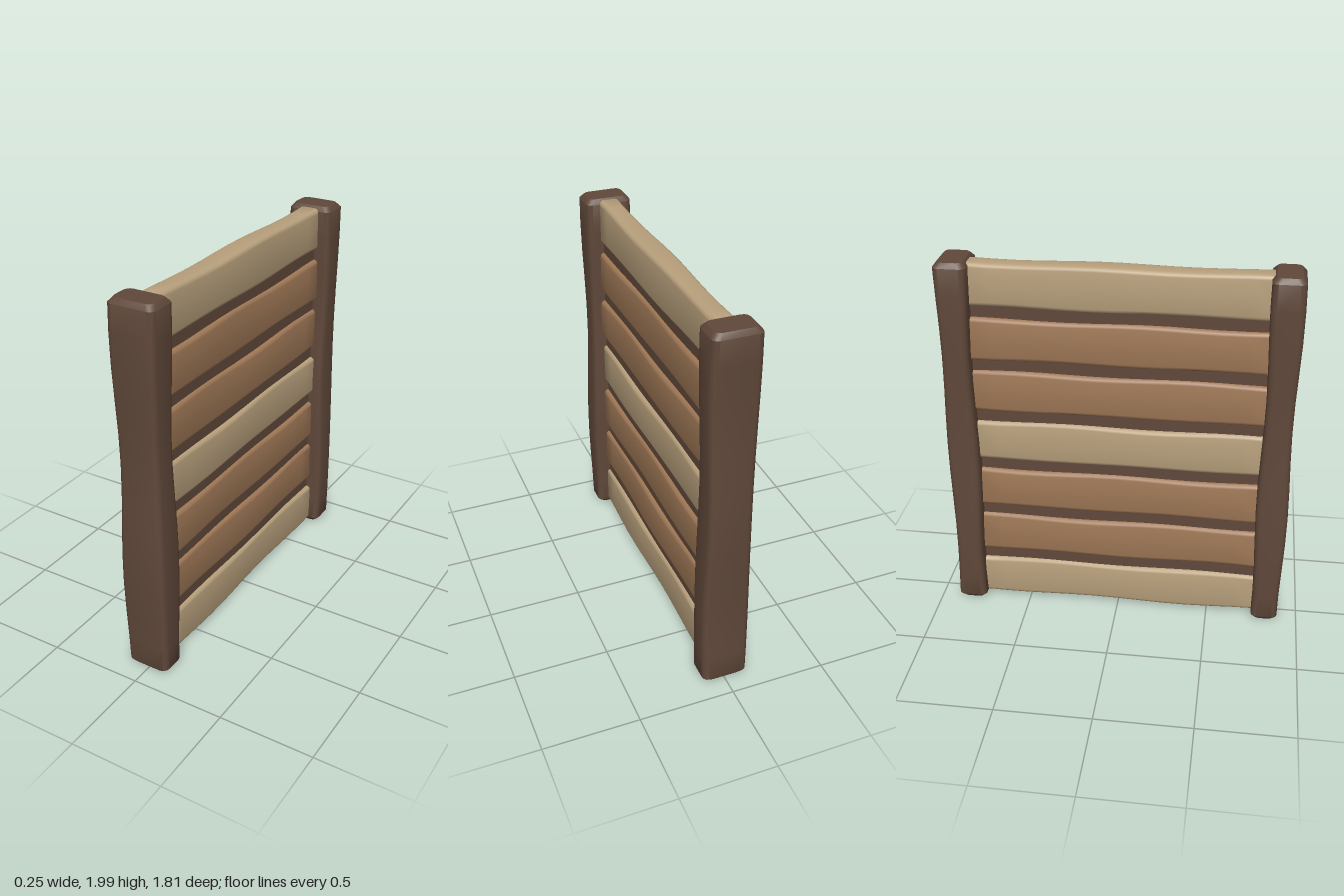
import * as THREE from 'three';
import { toCreasedNormals } from 'three/addons/utils/BufferGeometryUtils.js';

const paint = (name, color) => {
  const m = new THREE.MeshStandardMaterial({ color });
  m.name = name;
  return m;
};

// Rounded timber lofted along y; width on x, depth on z, with gently wavy sides
function timber(width, depth, length, radius, endInset, wave, seed) {
  const sections = [[-length / 2, endInset], [-length / 2 + endInset, 0]];
  const steps = 12;
  for (let i = 1; i < steps; i++) sections.push([(i / steps - 0.5) * length, 0]);
  sections.push([length / 2 - endInset, 0], [length / 2, endInset]);

  const pos = [], idx = [], n = 16;
  sections.forEach(([y, inset]) => {
    const t = y / length;
    for (let corner = 0; corner < 4; corner++) {
      const sx = corner === 0 || corner === 3 ? 1 : -1;
      const sz = corner < 2 ? 1 : -1;
      for (let k = 0; k < 4; k++) {
        const a = (corner + k / 3) * Math.PI / 2;
        const wx = wave * Math.sin(t * 9 + seed * 2.3 + sx * 1.4);
        const wz = wave * Math.sin(t * 11 + seed * 1.7 + sz * 1.9);
        pos.push(
          sx * (width / 2 - radius - inset * 0.8) + Math.cos(a) * radius + wx, y,
          sz * (depth / 2 - radius - inset * 0.8) + Math.sin(a) * radius + wz);
      }
    }
  });
  for (let r = 0; r < sections.length - 1; r++) {
    for (let i = 0; i < n; i++) {
      const a = r * n + i, b = r * n + (i + 1) % n;
      idx.push(a, a + n, b, b, a + n, b + n);
    }
  }
  // End caps
  const last = (sections.length - 1) * n, bottom = pos.length / 3, top = bottom + 1;
  pos.push(0, -length / 2, 0, 0, length / 2, 0);
  for (let i = 0; i < n; i++) {
    const j = (i + 1) % n;
    idx.push(bottom, i, j, top, last + j, last + i);
  }
  const g = new THREE.BufferGeometry();
  g.setAttribute('position', new THREE.Float32BufferAttribute(pos, 3));
  g.setIndex(idx);
  return toCreasedNormals(g, 0.7);
}

export function createModel() {
  const group = new THREE.Group();
  const darkWood = paint('dark wood', 0x60483a);
  const midWood = paint('mid wood', 0x9f7856);
  const paleWood = paint('pale wood', 0xb8a07c);

  const add = (name, geometry, material, y, z) => {
    const mesh = new THREE.Mesh(geometry, material);
    mesh.name = name;
    mesh.position.set(0, y, z);
    group.add(mesh);
  };

  // Upright posts at both ends
  add('frontPost', timber(0.235, 0.155, 1.99, 0.03, 0.025, 0.007, 1), darkWood, 1.005, 0.822);
  add('backPost', timber(0.235, 0.155, 1.99, 0.03, 0.025, 0.007, 4), darkWood, 1.005, -0.822);

  // Seven horizontal planks, every third one pale
  for (let i = 0; i < 7; i++) {
    const plank = timber(0.115, 0.228, 1.54, 0.022, 0.004, 0.004, i + 2).rotateX(Math.PI / 2);
    add('plank' + (i + 1), plank, i % 3 === 0 ? paleWood : midWood, 0.143 + i * 0.2885, 0);
  }

  // Recessed backing showing in the gaps
  add('backing', new THREE.BoxGeometry(0.076, 1.76, 1.52), darkWood, 1.01, 0);

  return group;
}
